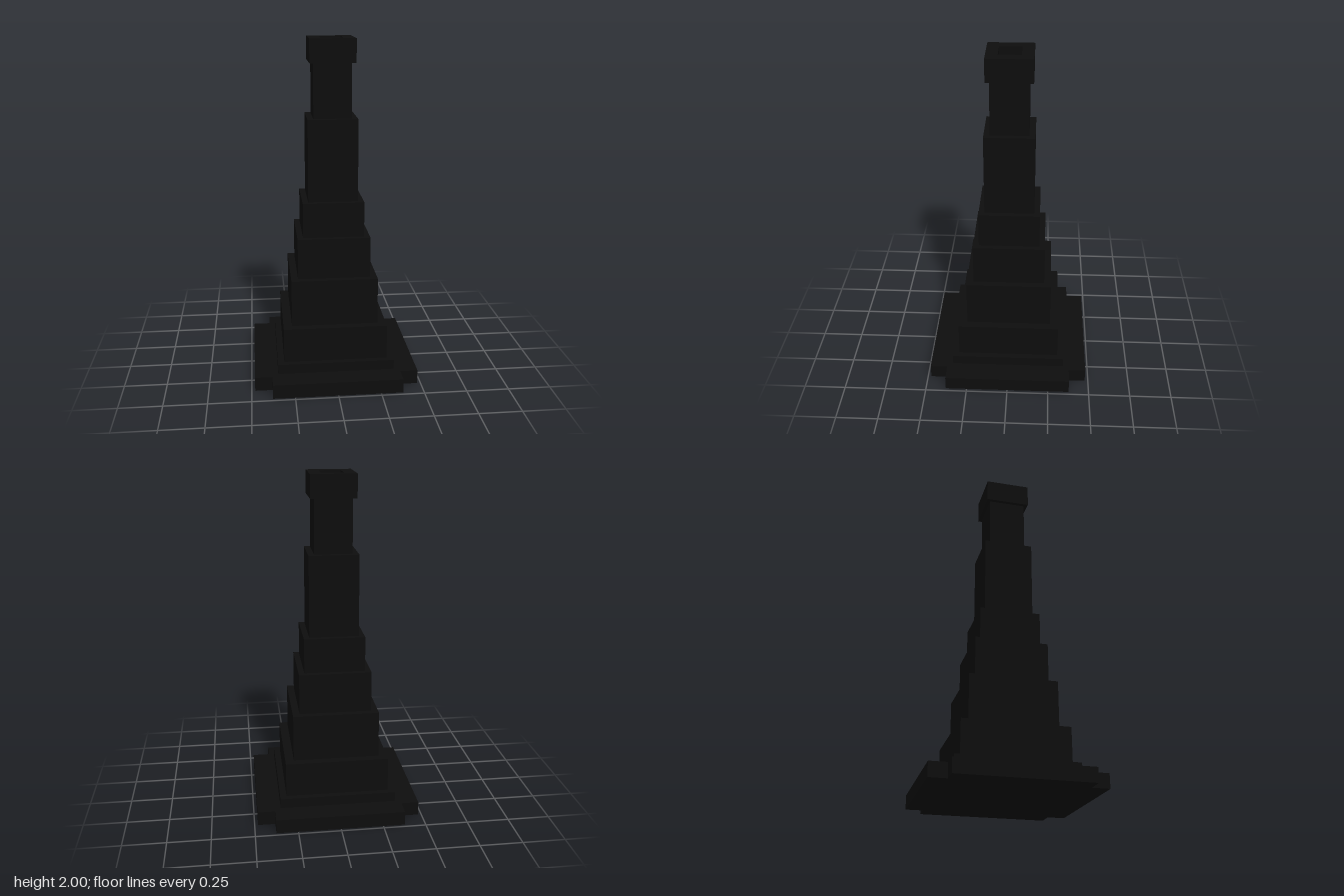
import * as THREE from 'three';

export function createModel() {
  const group = new THREE.Group();
  const black = new THREE.MeshStandardMaterial({ color: 0x0d0d0d });
  black.name = 'black';

  function add(name, geometry) {
    const mesh = new THREE.Mesh(geometry, black);
    mesh.name = name;
    group.add(mesh);
    return mesh;
  }

  // Extrude an outline upward from y0 to y1
  function slab(name, shape, y0, y1) {
    const g = new THREE.ExtrudeGeometry(shape, { depth: y1 - y0, bevelEnabled: false });
    g.rotateX(-Math.PI / 2);
    g.translate(0, y0, 0);
    return add(name, g);
  }

  const square = (h) => [[-h, -h], [h, -h], [h, h], [-h, h]].map(([x, y]) => new THREE.Vector2(x, y));

  // Base plate with notched corners
  const a = 0.48, b = 0.378;
  const outline = [
    [-b, -a], [b, -a], [b, -b], [a, -b], [a, b], [b, b],
    [b, a], [-b, a], [-b, b], [-a, b], [-a, -b], [-b, -b],
  ].map(([x, y]) => new THREE.Vector2(x, y));
  slab('basePlate', new THREE.Shape(outline), 0, 0.083);

  // Stepped square tiers: [half width, top height]
  const tiers = [
    [0.343, 0.14], [0.305, 0.345], [0.254, 0.623], [0.213, 0.864],
    [0.179, 1.07], [0.145, 1.55], [0.11, 1.865],
  ];
  let y = 0.083;
  tiers.forEach(([h, top], i) => {
    const g = new THREE.BoxGeometry(2 * h, top - y, 2 * h);
    g.translate(0, (top + y) / 2, 0);
    add(`tier${i + 1}`, g);
    y = top;
  });

  // Hollow cap at the top of the stack
  const cap = new THREE.Shape(square(0.132));
  cap.holes.push(new THREE.Path(square(0.064).reverse()));
  slab('chimneyCap', cap, 1.865, 2);

  return group;
}
